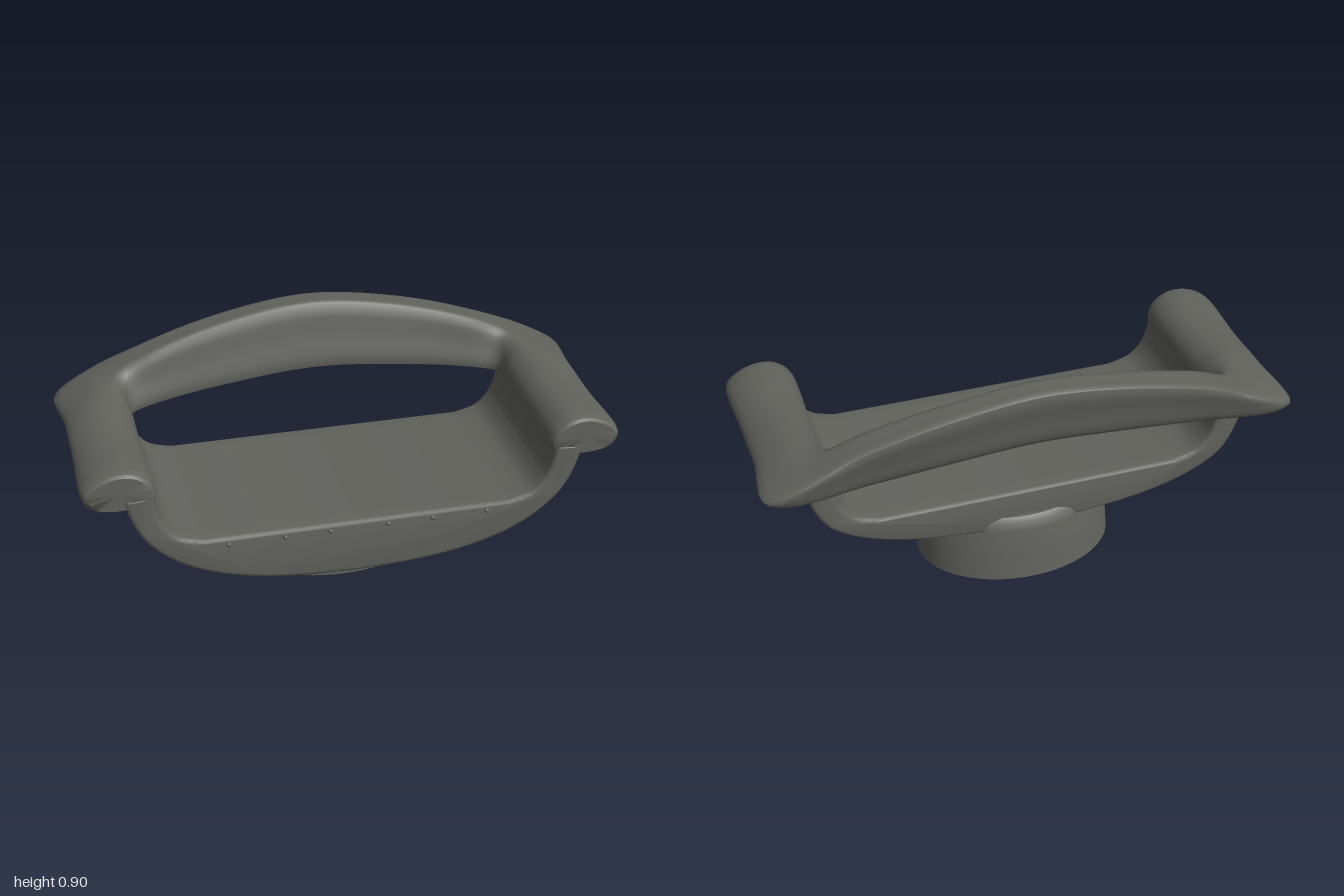
import * as THREE from 'three';
import { toCreasedNormals } from 'three/addons/utils/BufferGeometryUtils.js';

const V = (x, y, z) => new THREE.Vector3(x, y, z);

// Skin a list of closed rings (arrays of Vector3), with flat end caps
function loft(rings) {
  const n = rings[0].length, pos = [], idx = [];
  rings.forEach(r => r.forEach(p => pos.push(p.x, p.y, p.z)));
  for (let i = 0; i < rings.length - 1; i++) {
    for (let j = 0; j < n; j++) {
      const a = i * n + j, b = i * n + (j + 1) % n;
      idx.push(a, b, a + n, b, b + n, a + n);
    }
  }
  [0, rings.length - 1].forEach((i, end) => {
    const c = rings[i].reduce((s, p) => s.add(p), V(0, 0, 0)).divideScalar(n);
    const k = pos.length / 3;
    pos.push(c.x, c.y, c.z);
    for (let j = 0; j < n; j++) {
      const a = i * n + j, b = i * n + (j + 1) % n;
      if (end) idx.push(k, a, b); else idx.push(k, b, a);
    }
  });
  const g = new THREE.BufferGeometry();
  g.setAttribute('position', new THREE.Float32BufferAttribute(pos, 3));
  g.setIndex(idx);
  return toCreasedNormals(g, 0.7);
}

// Sections run: inner bottom, up the inner face, over the top, down the outer face, underneath
function armSection(z, lift = 0, scale = 1) {
  return [[.745, .56], [.75, .62], [.80, .668], [.87, .68], [.95, .655], [1, .605], [.975, .55], [.86, .53]]
    .map(([x, y], i) => V(.87 + (x - .87) * scale, .605 + (y - .605) * scale + lift * (i > 1 && i < 4 ? 1.2 : .7), z));
}

function backSection(x, zBottom, zTop, zBack, yBottom, yTop) {
  const h = yTop - yBottom;
  return [
    V(x, yBottom, zBottom),
    V(x, yBottom + h * .5, zBottom * .62 + zTop * .38),
    V(x, yTop - .004, zTop),
    V(x, yTop, (zTop + zBack) / 2),
    V(x, yTop - .008, zBack),
    V(x, yBottom + h * .5, zBack + .018),
    V(x, yBottom + .015, zBack + .045),
    V(x, yBottom - .003, (zBottom + zBack) / 2 + .015),
  ];
}

function railGeometry() {
  const corner = [
    V(.735, .57, -.22), V(.74, .645, -.235), V(.77, .715, -.265), V(.82, .71, -.325),
    V(.92, .665, -.385), V(1, .61, -.388), V(.97, .585, -.378), V(.85, .56, -.31),
  ];
  const half = [
    armSection(.42, 0, .87), armSection(.403), armSection(.1), armSection(-.12, .015), corner,
    backSection(.62, -.255, -.298, -.42, .588, .785),
    backSection(.32, -.278, -.33, -.437, .625, .862),
  ];
  const mirrored = half.map(s => s.map(p => V(-p.x, p.y, p.z))).reverse();
  const stations = [...half, backSection(0, -.285, -.34, -.443, .648, .9), ...mirrored]
    .map(s => new THREE.CatmullRomCurve3(s, true).getPoints(32).slice(0, 32));
  const tracks = stations[0].map((_, j) => new THREE.CatmullRomCurve3(stations.map(s => s[j])));
  const steps = (stations.length - 1) * 6;
  const rings = [];
  for (let i = 0; i <= steps; i++) rings.push(tracks.map(t => t.getPoint(i / steps)));
  return loft(rings);
}

// Scooped tray: flat floor, curved sides, bowed underside
function trayGeometry() {
  const s = new THREE.Shape();
  const flip = pts => pts.map(([x, y]) => new THREE.Vector2(-x, y)).reverse();
  const outer = [[0, .15], [.2, .158], [.38, .18], [.54, .222], [.67, .285], [.77, .37], [.825, .46], [.86, .57]];
  const inner = [[.75, .58], [.742, .51], [.715, .445], [.665, .395], [.58, .37]];
  const vec = pts => pts.map(([x, y]) => new THREE.Vector2(x, y));
  s.moveTo(0, .15);
  s.splineThru(vec(outer.slice(1)));
  s.lineTo(.75, .58);
  s.splineThru(vec(inner.slice(1)));
  s.lineTo(-.58, .37);
  s.splineThru(flip(inner).slice(1));
  s.lineTo(-.86, .57);
  s.splineThru(flip(outer).slice(1));
  const b = .016;
  const g = new THREE.ExtrudeGeometry(s, {
    depth: .72 - 2 * b, steps: 14, curveSegments: 30,
    bevelSize: b, bevelThickness: b, bevelOffset: -b, bevelSegments: 3,
  });
  g.translate(0, 0, -.295 + b);
  // The underside rises towards the back
  const p = g.attributes.position;
  for (let i = 0; i < p.count; i++) {
    const y = p.getY(i);
    const rise = 1 - THREE.MathUtils.smoothstep(p.getZ(i), -.08, .24);
    p.setY(i, y + .05 * rise * THREE.MathUtils.clamp((.37 - y) / .2, 0, 1));
  }
  return toCreasedNormals(g, 0.6);
}

// Hollow oval socket, open below and leaning slightly forward
function socketGeometry() {
  const profile = [[0, .215], [.86, .21], [.91, .18], [.945, 0], [1, 0], [.985, .1], [.96, .21], [.94, .245], [.89, .262], [0, .268]];
  const g = new THREE.LatheGeometry(profile.map(([x, y]) => new THREE.Vector2(x, y)), 56);
  const p = g.attributes.position;
  for (let i = 0; i < p.count; i++) {
    const y = p.getY(i);
    p.setXYZ(i, p.getX(i) * .383, y, p.getZ(i) * .285 - .071 + y * .06);
  }
  return toCreasedNormals(g, 0.6);
}

export function createModel() {
  const group = new THREE.Group();
  const grey = new THREE.MeshStandardMaterial({ color: 0x62625d });
  grey.name = 'warm dark grey';
  const add = (name, geometry) => {
    const mesh = new THREE.Mesh(geometry, grey);
    mesh.name = name;
    group.add(mesh);
    return mesh;
  };
  add('armrestsAndBackrest', railGeometry());
  add('tray', trayGeometry());
  add('baseSocket', socketGeometry());
  // Tiny studs along the front lip
  const stud = new THREE.SphereGeometry(.009, 10, 8);
  for (const x of [.11, .28, .49]) {
    for (const side of [-1, 1]) add('frontStud', stud).position.set(x * side, .345, .428);
  }
  return group;
}
